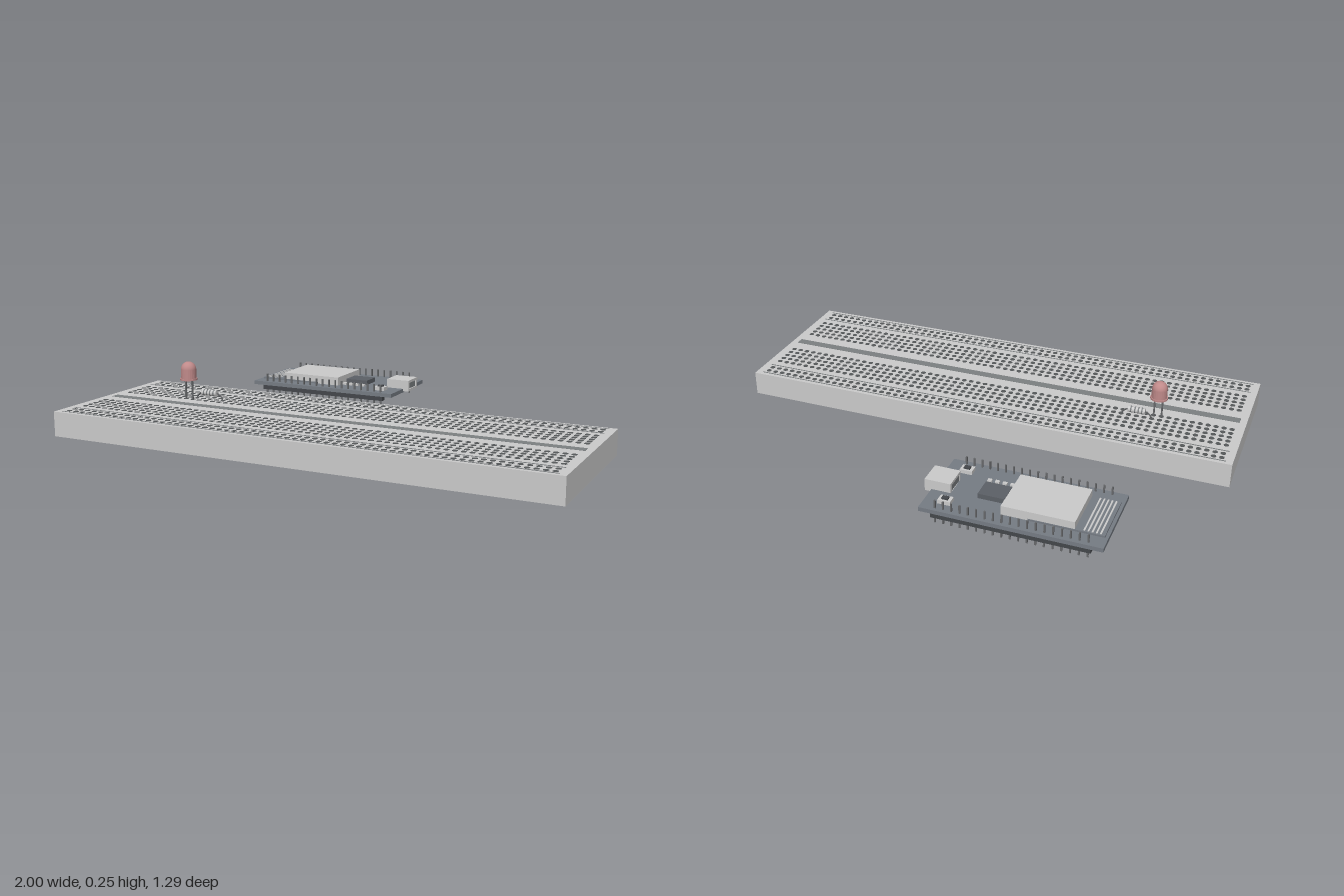
import * as THREE from 'three';
import { mergeGeometries } from 'three/addons/utils/BufferGeometryUtils.js';

const PITCH = 0.0308;
const mat = (color) => new THREE.MeshStandardMaterial({ color });
const MAT = {
  body: mat(0xcccccb), dark: mat(0x55585a), groove: mat(0x7c8082), board: mat(0x767c84),
  metal: mat(0xcccccc), chip: mat(0x5c6066), pin: mat(0x66686a), led: mat(0xc08a8a), black: mat(0x44474b),
};

// Box geometry given by its extents
function boxGeo(x0, x1, y0, y1, z0, z1) {
  return new THREE.BoxGeometry(x1 - x0, y1 - y0, z1 - z0)
    .translate((x0 + x1) / 2, (y0 + y1) / 2, (z0 + z1) / 2);
}

function add(parent, name, geometry, material) {
  const mesh = new THREE.Mesh(geometry, material);
  mesh.name = name;
  parent.add(mesh);
  return mesh;
}

function makeBreadboard() {
  const g = new THREE.Group();
  g.name = 'breadboard';
  const top = 0.097;
  add(g, 'breadboardBody', boxGeo(-1, 1, 0, top, -0.333, 0.333), MAT.body);
  add(g, 'centreChannel', boxGeo(-0.973, 0.973, top - 0.01, top + 0.0008, -0.018, 0.018), MAT.groove);

  // Contact holes: five rows and two rail rows on each side of the channel
  const holes = [], lines = [];
  const rows = [0, 1, 2, 3, 4].map((i) => 0.079 + i * PITCH).concat([0.264, 0.264 + PITCH]);
  for (const side of [-1, 1]) {
    for (const z of rows) {
      for (let i = 0; i < 63; i++) {
        holes.push(new THREE.CylinderGeometry(0.0105, 0.0105, 0.002, 8)
          .translate((i - 31) * PITCH, top, side * z));
      }
    }
    // Rail marking lines
    for (const z of [0.243, 0.315]) {
      lines.push(boxGeo(-0.973, 0.973, top - 0.001, top + 0.0015, side * z - 0.002, side * z + 0.002));
    }
  }
  add(g, 'contactHoles', mergeGeometries(holes), MAT.dark);
  add(g, 'railLines', mergeGeometries(lines), MAT.groove);
  g.position.z = 0.312;
  return g;
}

function makeLed() {
  const g = new THREE.Group();
  g.name = 'led';
  // Flanged lens with a domed top
  const profile = [[0, 0.176], [0.0345, 0.176], [0.0345, 0.183], [0.0305, 0.183], [0.0305, 0.219]]
    .map(([x, y]) => new THREE.Vector2(x, y));
  const sides = new THREE.LatheGeometry(profile, 24).toNonIndexed();
  sides.computeVertexNormals();
  add(g, 'ledLens', sides, MAT.led);
  const dome = new THREE.SphereGeometry(0.0305, 24, 10, 0, Math.PI * 2, 0, Math.PI / 2);
  add(g, 'ledDome', dome, MAT.led).position.y = 0.219;
  for (const s of [-1, 1]) {
    add(g, 'ledLeg', boxGeo(-0.003, 0.003, 0.06, 0.18, -0.003, 0.003), MAT.pin).position.x = s * PITCH / 2;
  }
  g.position.set(-0.6625, 0, 0.233);
  return g;
}

function makeResistor() {
  const g = new THREE.Group();
  g.name = 'resistor';
  const body = new THREE.CylinderGeometry(0.0125, 0.0125, 0.068, 16).rotateZ(Math.PI / 2);
  add(g, 'resistorBody', body, MAT.metal).position.y = 0.124;
  // Colour bands
  for (const x of [-0.022, -0.008, 0.006, 0.022]) {
    const band = new THREE.CylinderGeometry(0.013, 0.013, 0.005, 16).rotateZ(Math.PI / 2);
    add(g, 'resistorBand', band, MAT.groove).position.set(x, 0.124, 0);
  }
  // Bent leads
  for (const s of [-1, 1]) {
    const curve = new THREE.CatmullRomCurve3([
      new THREE.Vector3(s * 0.03, 0.124, 0), new THREE.Vector3(s * 0.042, 0.121, 0),
      new THREE.Vector3(s * 0.057, 0.106, 0), new THREE.Vector3(s * 2 * PITCH, 0.08, 0),
    ]);
    add(g, 'resistorLead', new THREE.TubeGeometry(curve, 10, 0.003, 6), MAT.pin);
  }
  g.position.set(-0.5855, 0, 0.202);
  return g;
}

function makeController() {
  const g = new THREE.Group();
  g.name = 'controllerBoard';
  const top = 0.072;
  add(g, 'circuitBoard', boxGeo(-0.334, 0.334, 0.056, top, -0.168, 0.168), MAT.board);

  // Pin headers along both long edges
  for (const s of [-1, 1]) {
    const z = s * 0.151;
    add(g, 'headerStrip', boxGeo(-0.29, 0.29, 0.037, 0.056, z - 0.013, z + 0.013), MAT.black);
    const pins = [];
    for (let i = -9; i <= 9; i++) {
      pins.push(boxGeo(i * PITCH - 0.003, i * PITCH + 0.003, 0.012, 0.104, z - 0.003, z + 0.003));
    }
    add(g, 'headerPins', mergeGeometries(pins), MAT.pin);
  }

  // Radio module: base board, metal shield and antenna traces
  add(g, 'moduleBase', boxGeo(-0.322, -0.048, top, 0.079, -0.108, 0.108), MAT.board);
  add(g, 'moduleShield', boxGeo(-0.216, 0.051, top, 0.107, -0.106, 0.106), MAT.metal);
  const traces = [];
  for (let i = 0; i < 5; i++) {
    const x = -0.306 + i * 0.0145;
    traces.push(boxGeo(x - 0.003, x + 0.003, 0.078, 0.081, -0.103, 0.103));
  }
  add(g, 'antennaTraces', mergeGeometries(traces), MAT.metal);

  // Interface chip and a row of small components
  add(g, 'interfaceChip', boxGeo(0.06, 0.16, top, 0.091, -0.042, 0.042), MAT.chip);
  for (let i = 0; i < 4; i++) {
    const x = 0.069 + i * 0.029;
    add(g, 'smallComponent', boxGeo(x - 0.008, x + 0.008, top, 0.081, 0.065, 0.079), MAT.metal);
  }

  // Push buttons
  for (const s of [-1, 1]) {
    const button = new THREE.Group();
    button.name = 'pushButton';
    add(button, 'buttonBody', boxGeo(-0.024, 0.024, top, 0.087, -0.018, 0.018), MAT.metal);
    add(button, 'buttonCap', boxGeo(-0.012, 0.012, 0.087, 0.093, -0.009, 0.009), MAT.black);
    button.position.set(0.256, 0, s * 0.105);
    g.add(button);
  }

  // Connector: rectangular shell with an open mouth, plus an inner tongue
  const shell = new THREE.Shape();
  shell.moveTo(-0.048, 0.062).lineTo(0.048, 0.062).lineTo(0.048, 0.109).lineTo(-0.048, 0.109).closePath();
  const mouth = new THREE.Path();
  mouth.moveTo(-0.036, 0.072).lineTo(-0.036, 0.098).lineTo(0.036, 0.098).lineTo(0.036, 0.072).closePath();
  shell.holes.push(mouth);
  const shellGeo = new THREE.ExtrudeGeometry(shell, { depth: 0.1, bevelEnabled: false })
    .rotateY(Math.PI / 2).translate(0.26, 0, 0);
  add(g, 'connectorShell', shellGeo, MAT.metal);
  add(g, 'connectorInner', boxGeo(0.262, 0.355, 0.071, 0.099, -0.037, 0.037), MAT.groove);

  g.position.set(-0.356, 0, -0.477);
  return g;
}

export function createModel() {
  const model = new THREE.Group();
  model.name = 'electronicsKit';
  model.add(makeBreadboard(), makeLed(), makeResistor(), makeController());
  return model;
}
